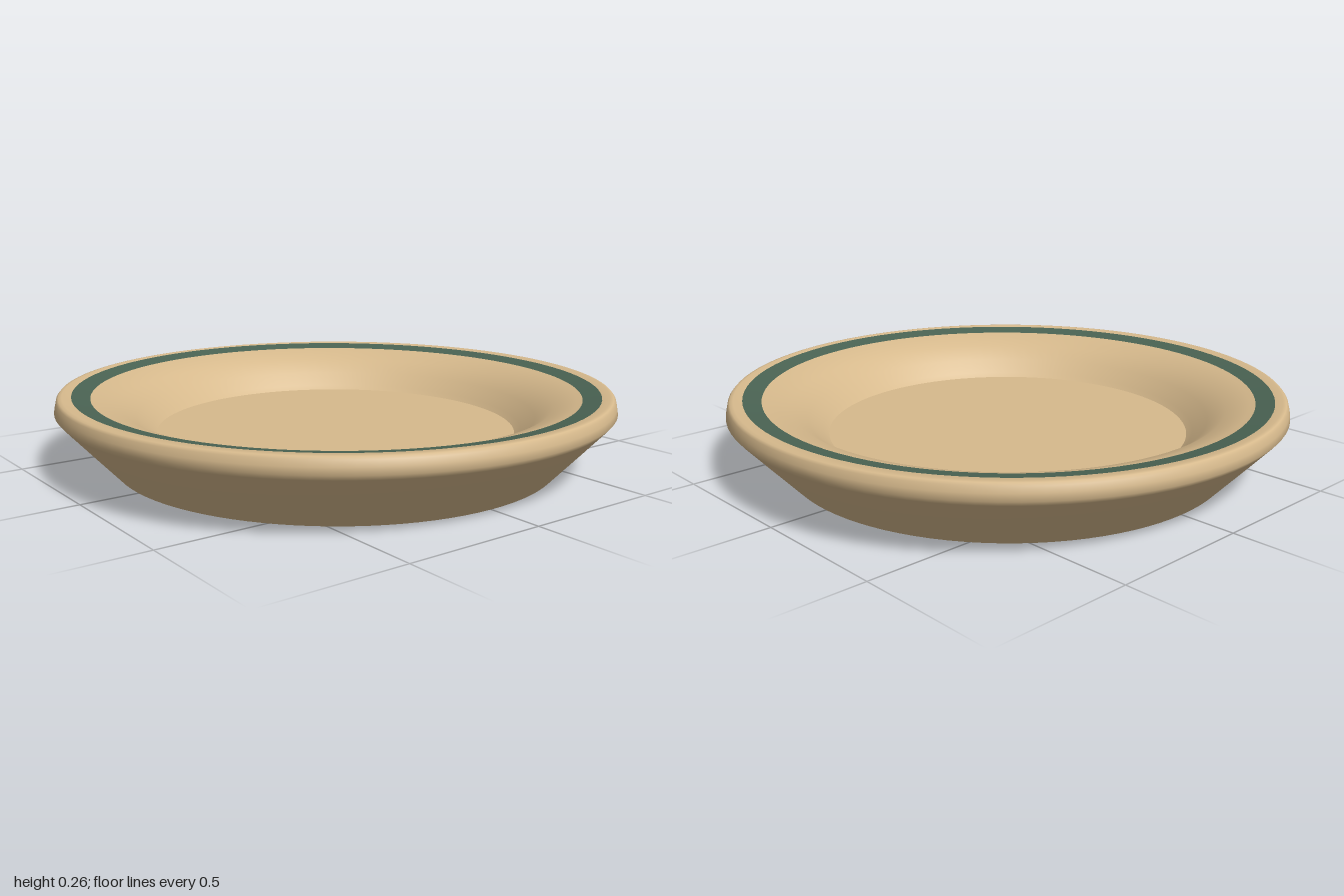
import * as THREE from 'three';

const SEGMENTS = 96;

// Inside surface of the dish, from the floor edge out to the crest of the rim: [radius, height]
const INSIDE = [[0.65, 0.11], [0.67, 0.126], [0.72, 0.172], [0.78, 0.216], [0.86, 0.244], [0.95, 0.26], [0.972, 0.265]];

// Height of the inside surface at a radius
function insideHeight(r) {
  for (let i = 1; i < INSIDE.length; i++) {
    const [r0, y0] = INSIDE[i - 1], [r1, y1] = INSIDE[i];
    if (r <= r1) return y0 + (y1 - y0) * (r - r0) / (r1 - r0);
  }
  return 0.265;
}

export function createModel() {
  const group = new THREE.Group();
  const clay = new THREE.MeshStandardMaterial({ color: 0xd6b98c });
  clay.name = 'tan glaze';
  const green = new THREE.MeshStandardMaterial({ color: 0x4a6353 });
  green.name = 'dark green glaze';

  const add = (geometry, material, name) => {
    const mesh = new THREE.Mesh(geometry, material);
    mesh.name = name;
    mesh.scale.z = 0.992;
    group.add(mesh);
  };
  const lathe = (points) => new THREE.LatheGeometry(points.map(([r, y]) => new THREE.Vector2(r, y)), SEGMENTS);

  // Flat underside and floor keep crisp edges against the smooth walls
  add(lathe([[0, 0], [0.805, 0]]), clay, 'underside');
  add(lathe([[0.65, 0.11], [0, 0.11]]), clay, 'floor');

  // Flared outer wall, rounded rim and curved inner wall
  const wall = [[0.805, 0], [0.9, 0.102], [0.985, 0.194], [1, 0.212], [0.996, 0.235], [0.991, 0.255], [0.984, 0.263]];
  add(lathe([...wall, ...INSIDE.slice().reverse()]), clay, 'wallAndRim');

  // Painted ring, slightly narrower front to back, draped over the inner rim
  const band = new THREE.RingGeometry(0.884, 0.949, SEGMENTS, 3);
  band.rotateX(-Math.PI / 2);
  const p = band.attributes.position;
  for (let i = 0; i < p.count; i++) {
    const x = p.getX(i), z = p.getZ(i) * 0.989;
    p.setXYZ(i, x, insideHeight(Math.hypot(x, z)) + 0.003, z);
  }
  band.computeVertexNormals();
  add(band, green, 'paintedBand');

  return group;
}
